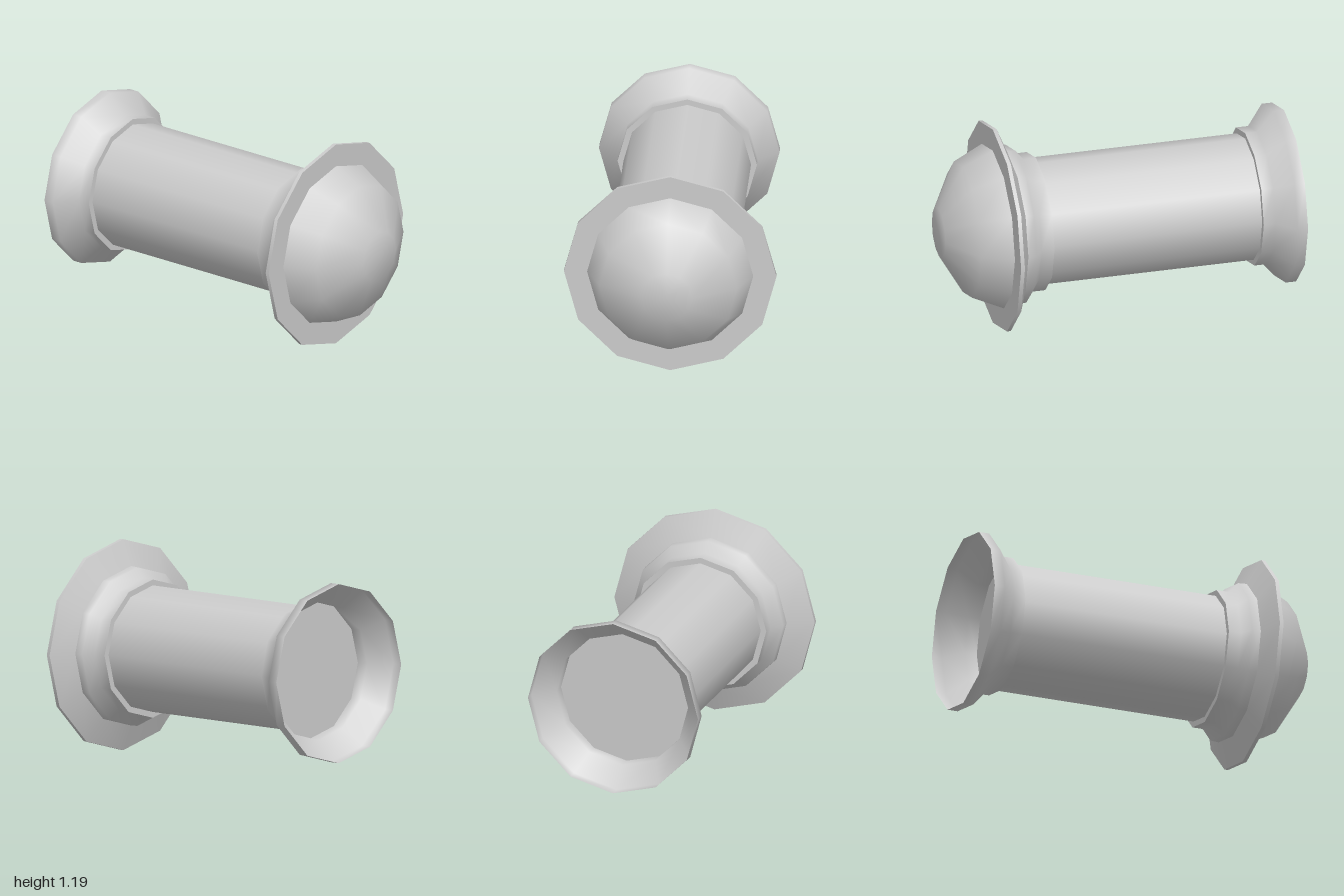
import * as THREE from 'three';

const SIDES = 12;
const AXIS_HEIGHT = 0.595;

export function createModel() {
  const group = new THREE.Group();
  const material = new THREE.MeshStandardMaterial({ color: 0xcccccc, side: THREE.DoubleSide });

  // Turn a [radius, z] profile (running back to front) around the z axis;
  // each profile is smooth, and separate profiles meet in a hard edge
  function turned(name, ...profiles) {
    const part = new THREE.Group();
    part.name = name;
    profiles.forEach((profile, i) => {
      const points = profile.map(([r, z]) => new THREE.Vector2(r, z));
      const geometry = new THREE.LatheGeometry(points, SIDES);
      geometry.rotateX(Math.PI / 2);
      const mesh = new THREE.Mesh(geometry, material);
      mesh.name = `${name}Surface${i + 1}`;
      mesh.position.y = AXIS_HEIGHT;
      part.add(mesh);
    });
    group.add(part);
  }

  // Hollow flared bell at the back, closed by a flat plate at its inner end
  turned('flaredBell',
    [[0.505, -1], [0.505, -0.94], [0.39, -0.845], [0.39, -0.775]],
    [[0.39, -0.775], [0, -0.775]]);

  // Straight tube
  turned('shaft', [[0.357, -0.775], [0.357, 0.44]]);

  // Stepped collar behind the flange
  turned('collar',
    [[0.357, 0.437], [0.39, 0.437]],
    [[0.39, 0.437], [0.39, 0.51], [0.447, 0.555], [0.45, 0.605]]);

  // Wide flange: sloped back, thin rim, flat front
  turned('flange',
    [[0.45, 0.605], [0.595, 0.665]],
    [[0.595, 0.665], [0.595, 0.687]],
    [[0.595, 0.687], [0.465, 0.687]]);

  // Domed head with a blunt tip
  turned('dome', [[0.465, 0.687], [0.385, 0.86], [0.145, 1], [0, 1]]);

  return group;
}
